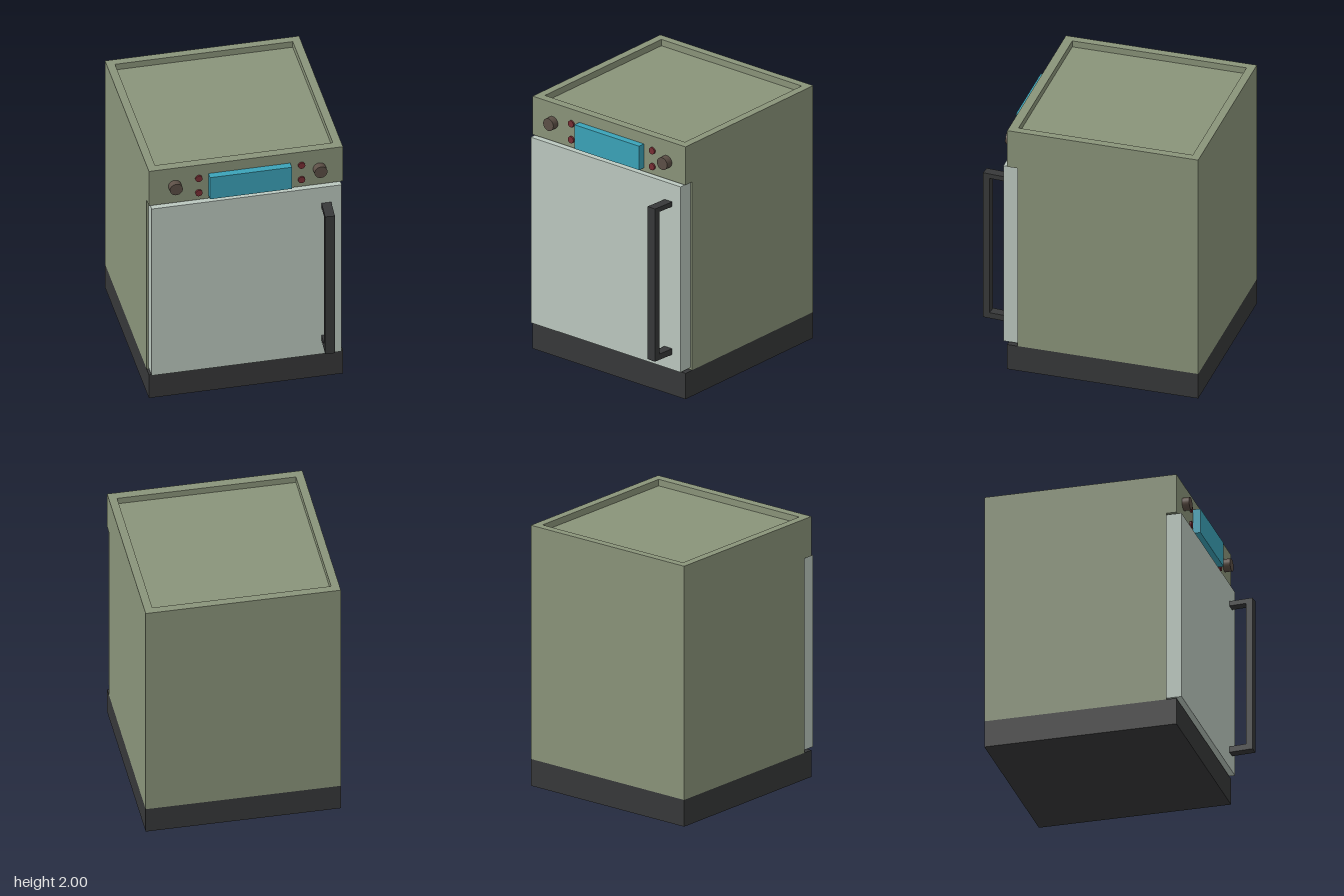
import * as THREE from 'three';

const mat = (color) => new THREE.MeshStandardMaterial({ color });
const olive = mat(0x8a947a), pale = mat(0xbcc9c0), dark = mat(0x373839);
const blue = mat(0x3ba3b9), red = mat(0x7a2f35), brown = mat(0x5c4f46);

export function createModel() {
  const model = new THREE.Group();
  const add = (name, geometry, material, parent = model) => {
    const mesh = new THREE.Mesh(geometry, material);
    mesh.name = name;
    parent.add(mesh);
    return mesh;
  };
  // Box given by its min and max corners
  const box = (name, [x0, y0, z0], [x1, y1, z1], material, parent) =>
    add(name, new THREE.BoxGeometry(x1 - x0, y1 - y0, z1 - z0)
      .translate((x0 + x1) / 2, (y0 + y1) / 2, (z0 + z1) / 2), material, parent);
  // Short cylinder standing out from the control panel
  const disc = (name, x, y, r, z1, material) => {
    const z0 = 0.6;
    add(name, new THREE.CylinderGeometry(r, r, z1 - z0, 32)
      .rotateX(Math.PI / 2).translate(x, y, (z0 + z1) / 2), material);
  };

  const W = 0.7225, back = -0.835, front = 0.617;

  box('base', [-W, 0, back], [W, 0.205, front], dark);

  // Cabinet: side profile with a step for the door, extruded across the width
  const profile = new THREE.Shape([
    [-back, 0.205], [-back, 1.95], [-front, 1.95],
    [-front, 1.697], [-0.54, 1.697], [-0.54, 0.205],
  ].map(([x, y]) => new THREE.Vector2(x, y)));
  add('cabinet', new THREE.ExtrudeGeometry(profile, { depth: 2 * W, bevelEnabled: false })
    .rotateY(Math.PI / 2).translate(-W, 0, 0), olive);

  // Raised rim around the sunken top
  const rectangle = (Type, x, y0, y1) => new Type([
    new THREE.Vector2(-x, y0), new THREE.Vector2(x, y0),
    new THREE.Vector2(x, y1), new THREE.Vector2(-x, y1),
  ]);
  const rim = rectangle(THREE.Shape, W, -front, -back);
  rim.holes.push(rectangle(THREE.Path, 0.662, -0.55, 0.775));
  add('topRim', new THREE.ExtrudeGeometry(rim, { depth: 0.05, bevelEnabled: false })
    .rotateX(-Math.PI / 2).translate(0, 1.95, 0), olive);

  box('door', [-0.71, 0.22, 0.535], [0.705, 1.69, 0.652], pale);

  // Handle, turned slightly about the vertical
  const handle = new THREE.Group();
  handle.name = 'handle';
  handle.position.set(0.591, 0, 0.65);
  handle.rotation.y = -0.07;
  model.add(handle);
  const h = 0.036, reach = 0.182;
  box('handleBar', [-h, 0.34, reach - 0.05], [h, 1.55, reach], dark, handle);
  box('handleTopArm', [-h, 1.513, -0.01], [h, 1.55, reach - 0.05], dark, handle);
  box('handleBottomArm', [-h, 0.34, -0.01], [h, 0.386, reach - 0.05], dark, handle);

  // Control panel
  box('display', [-0.28, 1.725, 0.6], [0.33, 1.915, 0.672], blue);
  disc('rightKnob', -0.53, 1.845, 0.048, 0.67, brown);
  disc('leftKnob', 0.547, 1.836, 0.048, 0.672, brown);
  for (const x of [-0.352, 0.413])
    for (const y of [1.76, 1.886]) disc('button', x, y, 0.026, 0.63, red);

  return model;
}
